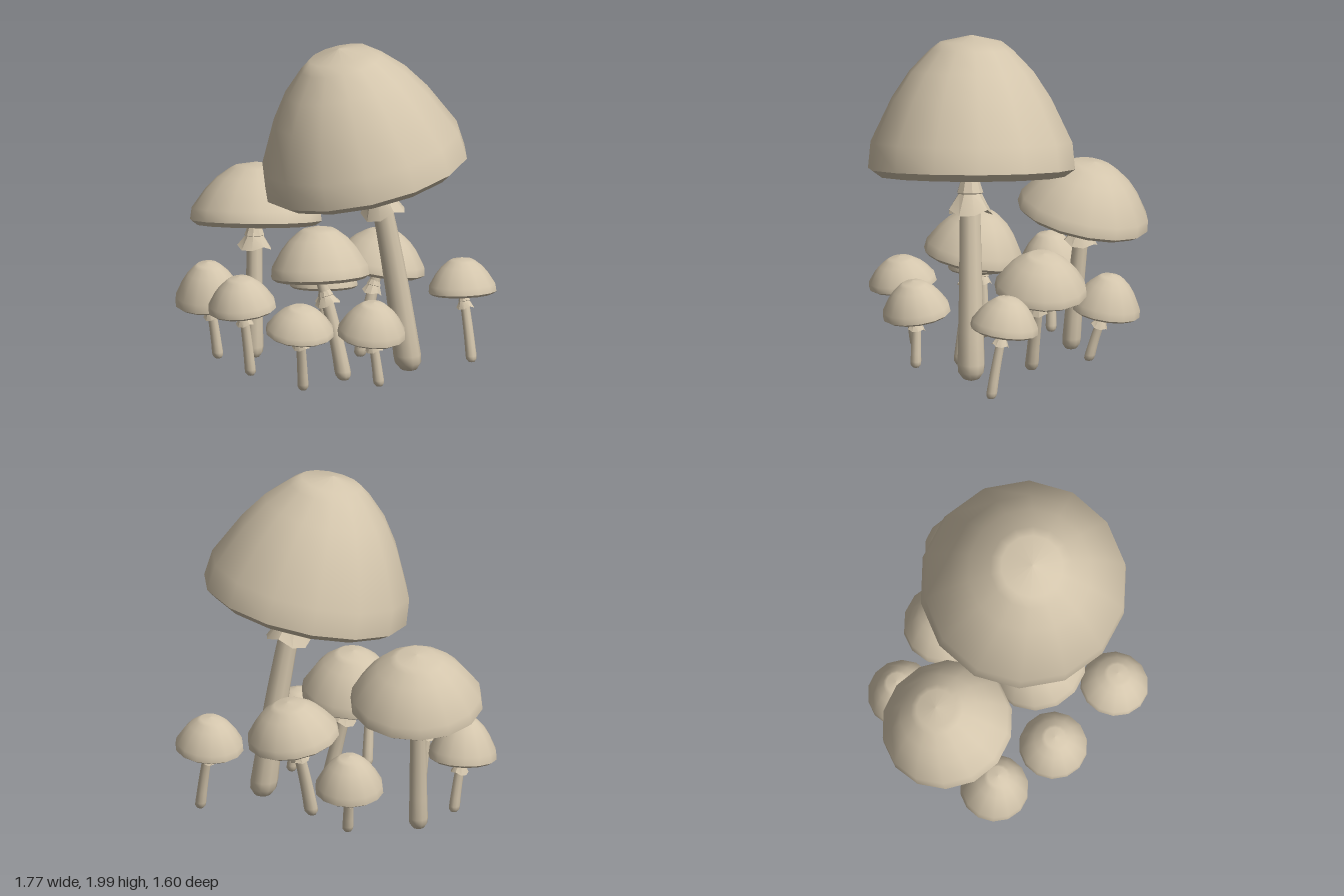
import * as THREE from 'three';
import { toCreasedNormals } from 'three/addons/utils/BufferGeometryUtils.js';

const beige = new THREE.MeshStandardMaterial({ color: 0xd3c5ac, side: THREE.DoubleSide });
beige.name = 'beige';

const UP = new THREE.Vector3(0, 1, 0);
const V = (a) => new THREE.Vector3(...a);
const lathe = (pts, sides) => new THREE.LatheGeometry(pts.map(([x, y]) => new THREE.Vector2(x, y)), sides);

function part(name, geometry) {
  const mesh = new THREE.Mesh(geometry, beige);
  mesh.name = name;
  return mesh;
}

// Domed cap: smooth on top, faceted below with a shallow hollow at the stem
function makeCap(r, h) {
  const dome = lathe([
    [1, 0], [0.975, 0.2], [0.77, 0.53], [0.6, 0.73], [0.4, 0.89], [0.3, 0.95], [0, 1],
  ].map(([x, y]) => [x * r, y * h]), 14);
  const gills = lathe([
    [0.05, 0.06], [0.28, 0.05], [0.5, -0.06], [0.9, -0.07], [1, 0],
  ].map(([x, y]) => [x * r, y * r]), 14).toNonIndexed();
  gills.computeVertexNormals();
  const group = new THREE.Group();
  group.name = 'cap';
  group.add(part('dome', dome), part('gills', gills));
  return group;
}

// Tapered stem with a round foot, bent along a curve
function makeStem(curve, r0, r1) {
  const f = r0 / curve.v0.distanceTo(curve.v2);
  const profile = [[0, 0], [0.6 * r0, 0.2 * f], [0.95 * r0, 0.7 * f], [r0, 1.3 * f]];
  for (let i = 1; i <= 6; i++) {
    const t = 1.3 * f + (1 - 1.3 * f) * i / 6;
    profile.push([r0 + (r1 - r0) * t, t]);
  }
  const g = lathe(profile, 10);
  const p = g.attributes.position;
  for (let i = 0; i < p.count; i++) {
    const c = curve.getPoint(p.getY(i));
    p.setXYZ(i, c.x + p.getX(i), c.y, c.z + p.getZ(i));
  }
  return part('stem', toCreasedNormals(g, 0.9));
}

// Flared ragged skirt with a narrow collar above it
function makeSkirt(r, h, stemR) {
  const g = lathe([[r, 0], [stemR * 1.25, h], [stemR * 1.4, h * 1.05], [stemR, h * 1.7]], 9);
  const p = g.attributes.position;
  for (let i = 0; i < p.count; i++) {
    if (p.getY(i) < h * 0.1) {
      const a = Math.atan2(p.getZ(i), p.getX(i));
      p.setY(i, h * 0.2 * Math.sin(a * 3 + 1));
    }
  }
  return part('skirt', toCreasedNormals(g, 0.5));
}

// rim: cap rim centre, r/h: cap radius and height, lean: cap axis in x and z,
// foot: stem base, stem: radii at base and top, skirt: base height, radius, height
function makeMushroom(name, { rim, r, h, lean, foot, stem, skirt, offset = [0, 0] }) {
  const group = new THREE.Group();
  group.name = name;

  const cap = makeCap(r, h);
  cap.position.copy(V(rim));
  cap.quaternion.setFromUnitVectors(UP, V([lean[0], 1, lean[1]]).normalize());

  // The stem rises nearly straight and leans more towards the cap
  const base = V(foot);
  const top = V([rim[0] + offset[0], rim[1] + r * 0.06, rim[2] + offset[1]]);
  const bend = base.clone().lerp(top, 0.35);
  bend.y = (base.y + top.y) / 2;
  const curve = new THREE.QuadraticBezierCurve3(base, bend, top);

  const [skirtY, skirtR, skirtH] = skirt;
  const t = (skirtY - base.y) / (top.y - base.y);
  const ring = makeSkirt(skirtR, skirtH, stem[1]);
  ring.position.copy(curve.getPoint(t));
  ring.quaternion.setFromUnitVectors(UP, curve.getTangent(t));

  group.add(cap, makeStem(curve, ...stem), ring);
  return group;
}

// The small mushrooms share one cap width, stem and skirt
function makeSmall(name, rim, h, lean, foot) {
  return makeMushroom(name, {
    rim, h, lean, foot, r: 0.198, stem: [0.032, 0.025], skirt: [rim[1] - 0.092, 0.052, 0.04],
  });
}

export function createModel() {
  const model = new THREE.Group();
  model.name = 'mushroomCluster';
  model.add(
    makeMushroom('tallMushroom', {
      rim: [0.3, 1.235, 0], r: 0.6, h: 0.77, lean: [-0.11, 0.185], foot: [0.43, 0.04, -0.215],
      offset: [0.03, -0.03], stem: [0.08, 0.055], skirt: [1.0, 0.13, 0.11],
    }),
    makeMushroom('broadMushroom', {
      rim: [-0.515, 0.805, 0.125], r: 0.384, h: 0.335, lean: [-0.16, -0.15], foot: [-0.47, 0, 0.18],
      offset: [-0.01, 0], stem: [0.055, 0.042], skirt: [0.645, 0.1, 0.07],
    }),
    makeMushroom('frontMiddleMushroom', {
      rim: [0.157, 0.635, 0.225], r: 0.287, h: 0.29, lean: [-0.15, -0.07], foot: [0.28, 0.02, 0.15],
      offset: [-0.01, 0], stem: [0.047, 0.032], skirt: [0.47, 0.075, 0.05],
    }),
    makeMushroom('backMiddleMushroom', {
      rim: [0.035, 0.55, -0.33], r: 0.268, h: 0.235, lean: [0.02, -0.19], foot: [0.02, 0.04, -0.2],
      stem: [0.04, 0.03], skirt: [0.41, 0.06, 0.045],
    }),
    makeSmall('frontSmallMushroom', [-0.117, 0.445, 0.58], 0.198, [-0.03, 0.1], [-0.1, 0.04, 0.53]),
    makeSmall('frontRightSmallMushroom', [-0.518, 0.38, 0.478], 0.248, [0.03, 0.09], [-0.49, 0.04, 0.435]),
    makeSmall('frontLeftSmallMushroom', [0.402, 0.42, 0.598], 0.165, [0.14, 0.05], [0.355, 0.05, 0.53]),
    makeSmall('backLeftSmallMushroom', [0.445, 0.445, -0.61], 0.198, [-0.12, -0.06], [0.53, 0.04, -0.605]),
    makeSmall('leftSmallMushroom', [0.555, 0.36, 0.185], 0.204, [0.14, 0.02], [0.583, 0.05, 0.15]),
    makeSmall('backRightSmallMushroom', [-0.415, 0.355, -0.305], 0.225, [-0.12, -0.1], [-0.335, 0.055, -0.245]),
  );
  return model;
}
